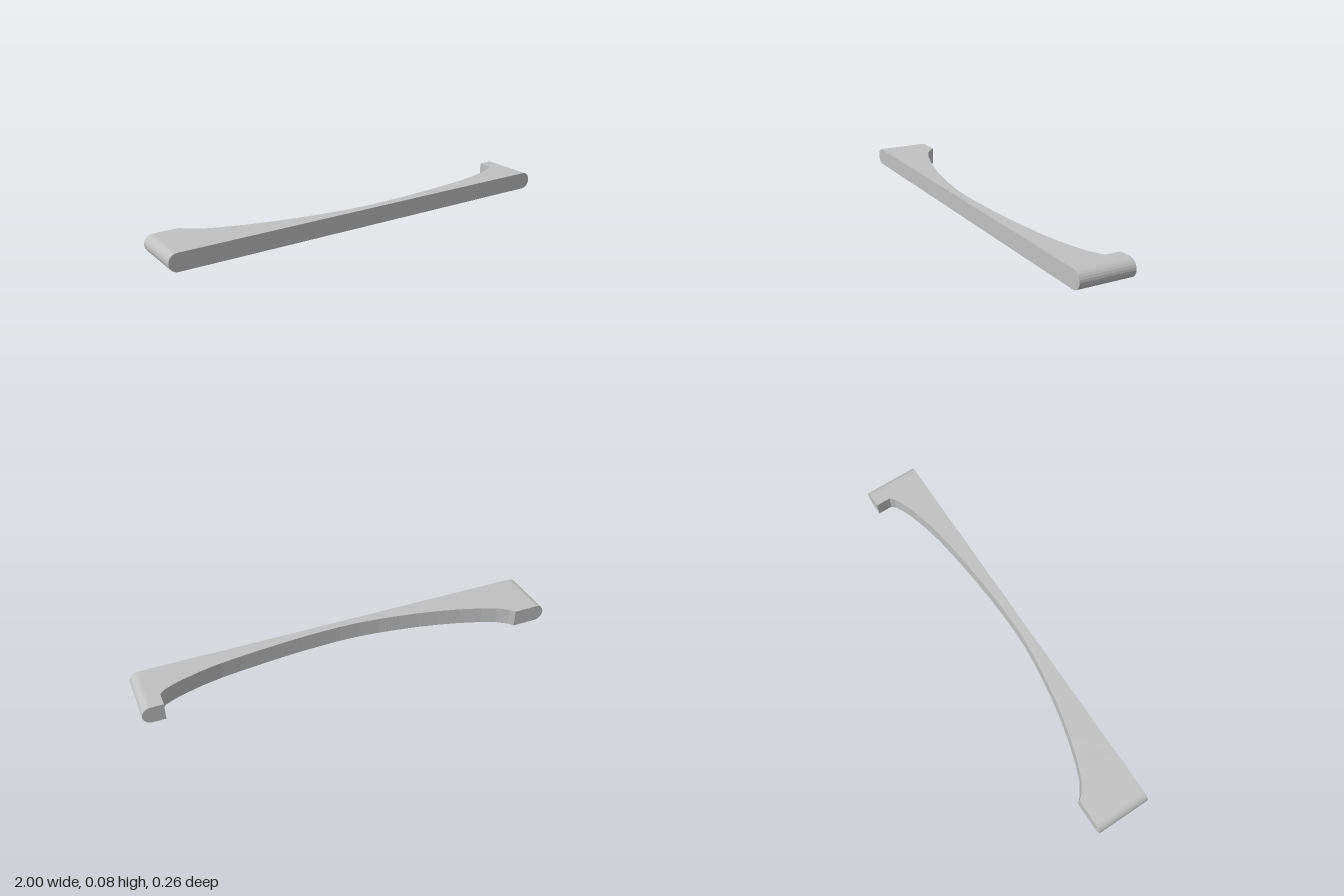
import * as THREE from 'three';

const FRONT = 0.13, BACK = -0.13, RADIUS = 0.0415, STEPS = 6;

// Plan of the scooped back edge, as [x, z]
const leftCurve = [[-0.84, -0.13], [-0.82, -0.105], [-0.77, -0.07], [-0.7, -0.04], [-0.6, -0.007],
  [-0.5, 0.02], [-0.4, 0.043], [-0.3, 0.06], [-0.2, 0.075], [-0.1, 0.085], [0, 0.089]];
const rightCurve = [[0.1, 0.087], [0.2, 0.083], [0.3, 0.076], [0.4, 0.067], [0.5, 0.056],
  [0.6, 0.043], [0.7, 0.023], [0.8, -0.005], [0.85, -0.025], [0.88, -0.04], [0.9, -0.06]];

// Sections of the half-round end, from the tip inward
function roundEnd(side) {
  const sections = [];
  for (let i = 0; i <= STEPS; i++) {
    const a = (i / STEPS) * Math.PI / 2;
    sections.push({ x: side * (1 - RADIUS + RADIUS * Math.cos(a)), back: BACK, half: RADIUS * Math.sin(a) });
  }
  return sections;
}

// Skins rectangular cross-sections along x with flat faces
function loft(sections) {
  const rings = sections.map(({ x, back, half }) => [
    [FRONT, -half], [FRONT, half], [back, half], [back, -half],
  ].map(([z, y]) => new THREE.Vector3(x, RADIUS + y, z)));
  const points = [];
  const triangle = new THREE.Triangle();
  const addTriangle = (a, b, c) => {
    if (triangle.set(a, b, c).getArea() > 1e-8) points.push(a, b, c);
  };
  for (let i = 0; i < rings.length - 1; i++) {
    for (let j = 0; j < 4; j++) {
      const k = (j + 1) % 4;
      const p = rings[i], q = rings[i + 1];
      addTriangle(p[j], q[j], q[k]);
      addTriangle(p[j], q[k], p[k]);
    }
  }
  const geometry = new THREE.BufferGeometry().setFromPoints(points);
  geometry.computeVertexNormals();
  return geometry;
}

export function createModel() {
  const grey = new THREE.MeshStandardMaterial({ color: 0xc0c0c0 });
  grey.name = 'light grey';

  const sections = [
    ...roundEnd(-1),
    ...[...leftCurve, ...rightCurve].map(([x, back]) => ({ x, back, half: RADIUS })),
    { x: 0.9, back: BACK, half: RADIUS }, // square step behind the short end
    ...roundEnd(1).reverse(),
  ];

  const handle = new THREE.Mesh(loft(sections), grey);
  handle.name = 'curvedHandle';
  const model = new THREE.Group();
  model.name = 'pullHandle';
  model.add(handle);
  return model;
}
